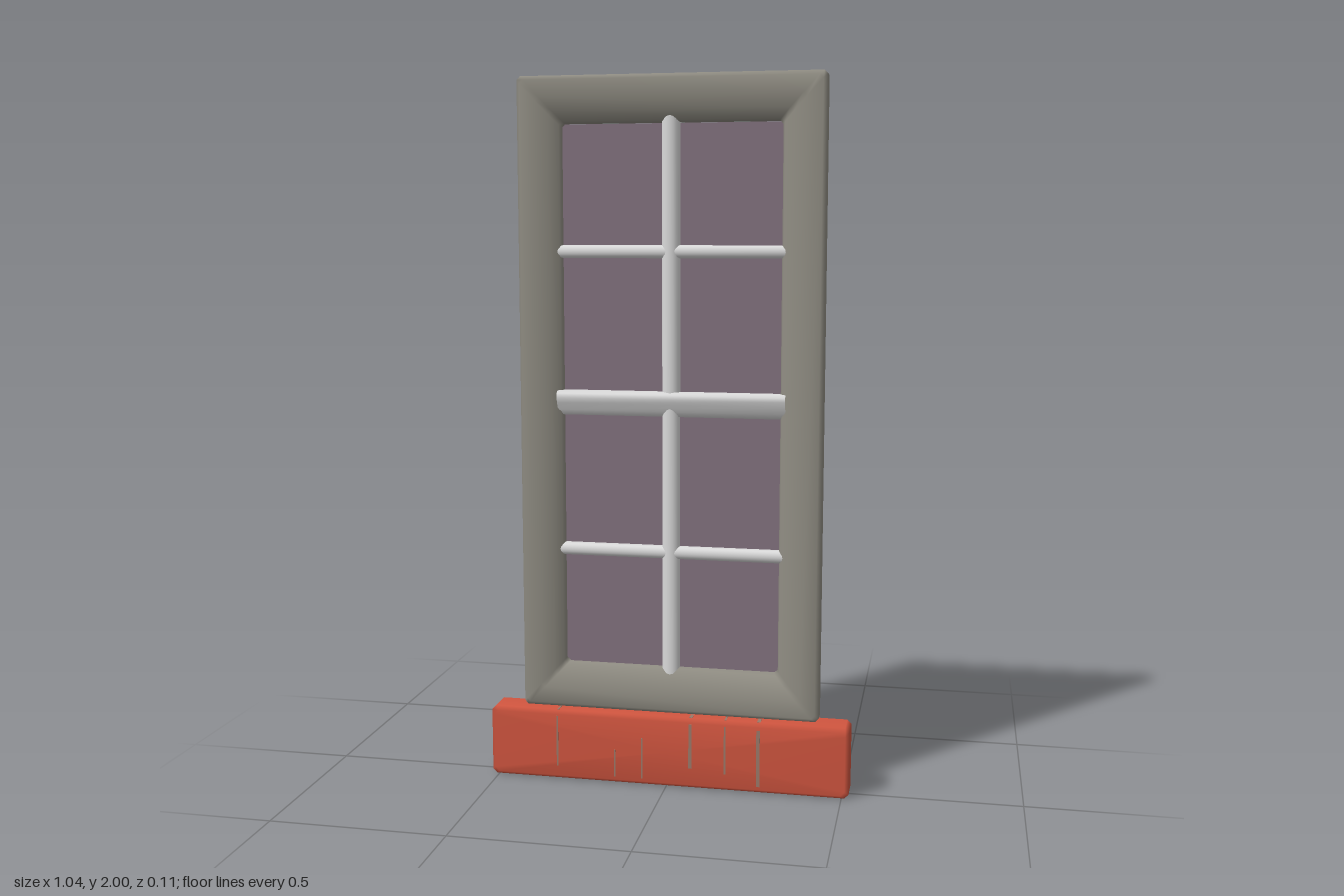
import * as THREE from 'three';

const mat = (name, color) => {
  const m = new THREE.MeshStandardMaterial({ color, side: THREE.DoubleSide });
  m.name = name;
  return m;
};

// Smooth surface through rows of points; optional closed rows and a cap on the last row
function loft(rows, closed = false, capCentre = null) {
  const n = rows[0].length, index = [];
  const pos = rows.flat(2);
  for (let i = 0; i < rows.length - 1; i++) {
    for (let j = 0; j < (closed ? n : n - 1); j++) {
      const k = (j + 1) % n;
      const a = i * n + j, b = i * n + k, c = a + n, d = b + n;
      index.push(a, b, c, b, d, c);
    }
  }
  if (capCentre) {
    const last = (rows.length - 1) * n, centre = rows.length * n;
    pos.push(...capCentre);
    for (let j = 0; j < n; j++) index.push(last + j, last + (j + 1) % n, centre);
  }
  const g = new THREE.BufferGeometry();
  g.setAttribute('position', new THREE.Float32BufferAttribute(pos, 3));
  g.setIndex(index);
  g.computeVertexNormals();
  return g;
}

// Rectangle with clipped corners, counter-clockwise from the front
function ring(w, h, cy, z, c) {
  return [
    [w, cy - h + c, z], [w, cy + h - c, z], [w - c, cy + h, z], [c - w, cy + h, z],
    [-w, cy + h - c, z], [-w, cy - h + c, z], [c - w, cy - h, z], [w - c, cy - h, z],
  ];
}

export function createModel() {
  const group = new THREE.Group();
  const stone = mat('warm grey frame', 0x918e84);
  const glass = mat('dusky purple glass', 0x83727f);
  const white = mat('pale grey bars', 0xdadada);
  const red = mat('brick red', 0xd0553f);
  const worn = mat('worn grey brown', 0x9a7a6a);

  const add = (name, geometry, material) => {
    const m = new THREE.Mesh(geometry, material);
    m.name = name;
    group.add(m);
    return m;
  };

  // Moulded frame: share of the way inwards, depth
  const CY = 1.1025;
  const profile = [
    [0, -0.037], [0, 0.005], [0.09, 0.017], [0.45, 0.016],
    [0.75, 0.006], [0.96, -0.01], [1, -0.018], [1, -0.055],
  ];
  add('frame', loft(profile.map(([t, z]) =>
    ring(0.43 - 0.12 * t, 0.8975 - 0.1275 * t, CY, z, 0.01)), true), stone);
  // Back lip of the frame opening
  add('frameLip', loft([
    ring(0.31, 0.77, CY, -0.055, 0.01), ring(0.318, 0.778, CY, -0.055, 0.01),
    ring(0.318, 0.778, CY, -0.035, 0.01)], true), stone);

  // Glass pane
  add('glassPane', new THREE.BoxGeometry(0.78, 1.66, 0.004), glass)
    .position.set(0, 1.04, -0.033);

  // Round-fronted glazing bar section, open at the back
  const section = (r, front, back) => {
    const pts = [[-r, back]];
    for (let i = 0; i <= 8; i++) {
      const a = Math.PI * (1 - i / 8);
      pts.push([Math.cos(a) * r, front - r * 0.8 + Math.sin(a) * r * 0.8]);
    }
    pts.push([r, back]);
    return pts;
  };

  // Upright bar
  const upright = section(0.025, -0.003, -0.047);
  add('uprightBar', loft([0.25, 1.89].map(y => upright.map(([u, z]) => [u, y, z]))), white);

  // Cross bars
  const cross = section(0.018, -0.006, -0.043);
  for (const y of [0.67, 1.52]) {
    add('crossBar', loft([0.335, -0.335].map(x =>
      cross.map(([u, z]) => [x, y + u, z]))), white);
  }

  // Meeting rail with a bright upper nose and a receding lower face
  const rail = [
    [1.06, -0.041], [1.06, -0.016], [1.075, -0.006], [1.095, 0.001],
    [1.11, 0.007], [1.122, 0.005], [1.13, -0.006], [1.13, -0.041],
  ];
  add('meetingRail', loft([0.325, -0.325].map(x => rail.map(([y, z]) => [x, y, z]))), white);

  // Sill block, hollow at the back
  const sill = [[0.52, 0.1025, -0.035], [0.52, 0.1025, 0.04], [0.509, 0.0915, 0.053]];
  add('sill', loft(sill.map(([w, h, z]) => ring(w, h, 0.1025, z, 0.012)),
    true, [0, 0.1025, 0.053]), red);

  // Worn streaks: x, bottom, top, width
  const streaks = [
    [-0.32, 0.04, 0.19, 0.005], [-0.15, 0.02, 0.1, 0.004], [-0.07, 0.02, 0.14, 0.004],
    [0.07, 0.06, 0.19, 0.009], [0.17, 0.05, 0.19, 0.005], [0.265, 0.02, 0.185, 0.01],
  ];
  for (const [x, y0, y1, w] of streaks) {
    add('sillStreak', new THREE.BoxGeometry(w, y1 - y0, 0.002), worn)
      .position.set(x, (y0 + y1) / 2, 0.053);
    if (y1 > 0.15) {
      add('sillTopStreak', new THREE.BoxGeometry(w, 0.002, 0.03), worn)
        .position.set(x, 0.205, 0.025);
    }
  }
  return group;
}
